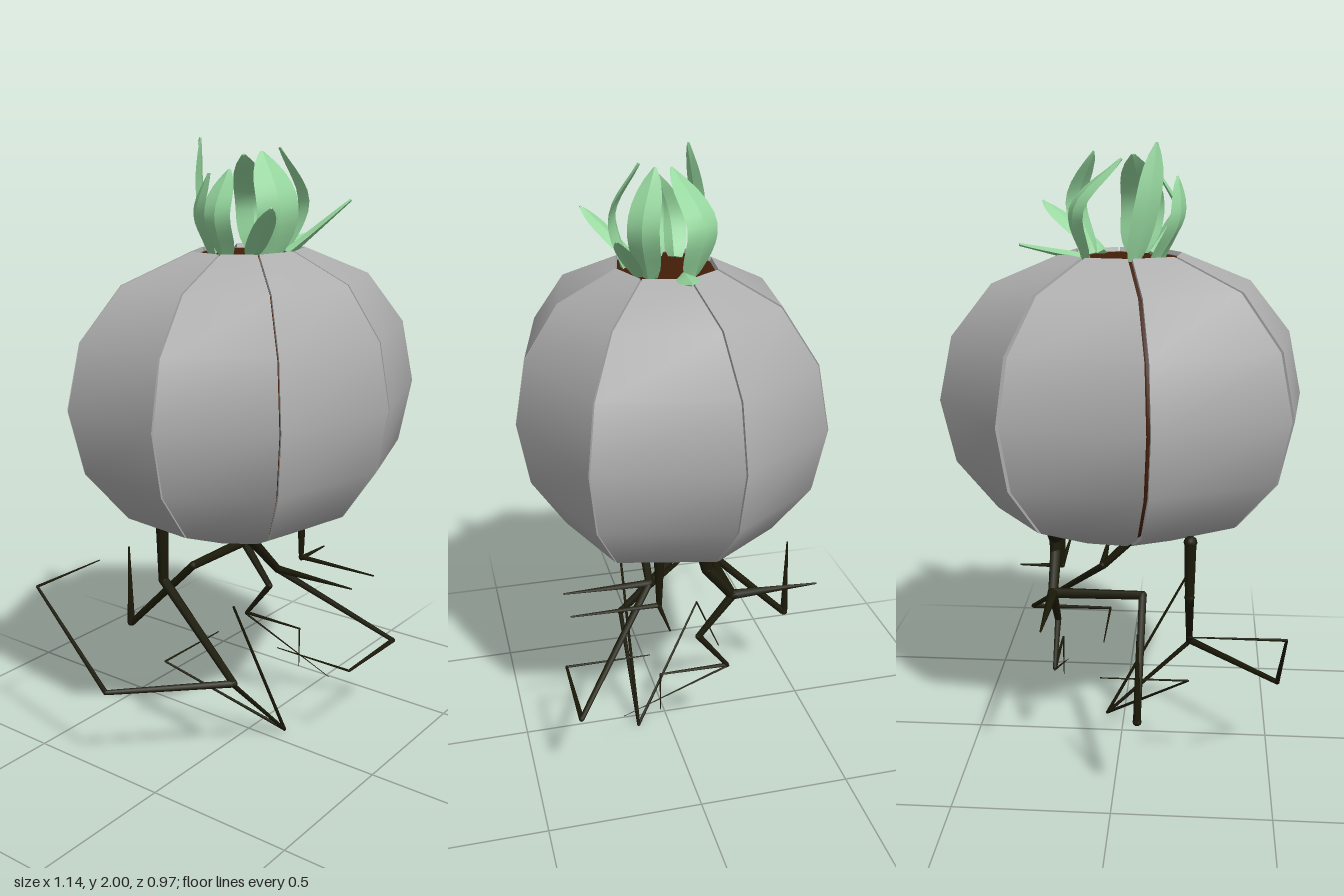
import * as THREE from 'three';

const mat = (name, color) => Object.assign(new THREE.MeshStandardMaterial({ color }), { name });
const V = (x, y, z) => new THREE.Vector3(x, y, z);

// Skin a series of rings (counter-clockwise seen from the far end): smooth lengthways, sharp across.
function loft(rings) {
  const pos = [], idx = [], n = rings[0].length;
  const put = p => pos.push(p.x, p.y, p.z) / 3 - 1;
  for (let k = 0; k < n; k++) {
    let prev = null;
    for (const ring of rings) {
      const cur = [put(ring[k]), put(ring[(k + 1) % n])];
      if (prev) idx.push(prev[0], prev[1], cur[1], prev[0], cur[1], cur[0]);
      prev = cur;
    }
  }
  const cap = ring => {
    const ids = ring.map(put);
    for (let k = 1; k < n - 1; k++) idx.push(ids[0], ids[k], ids[k + 1]);
  };
  cap(rings[rings.length - 1]);
  cap([...rings[0]].reverse());
  const g = new THREE.BufferGeometry();
  g.setAttribute('position', new THREE.Float32BufferAttribute(pos, 3));
  g.setIndex(idx);
  g.computeVertexNormals();
  return g;
}

// Widest points of the eight seams
const seams = [[0.06, 0.482], [0.475, 0.332], [0.571, -0.095], [0.332, -0.427],
  [-0.11, -0.48], [-0.53, -0.288], [-0.574, 0.09], [-0.375, 0.387]];
const MID_Y = 1.212, ROWS = 6;

// Point on a seam: a squarish arc from the bottom (row 0) to the top (last row)
function seamPoint([x, z], row, scale) {
  const angle = 1.347 * (2 * row / ROWS - 1);
  const f = Math.cos(angle) ** 0.75 * scale;
  return V(x * f, MID_Y + 0.467 * Math.sin(angle) * scale, z * f);
}

const rows = Array.from({ length: ROWS + 1 }, (_, row) => row);

// One shell panel between two seams; the gaps are wider at the back
function panelGeometry(a, b) {
  return loft(rows.map(row => {
    const edge = (from, to, scale) => {
      const p = seamPoint(from, row, scale), q = seamPoint(to, row, scale);
      return p.addScaledVector(q.sub(p).normalize(), from[1] < -0.2 ? 0.007 : 0.003);
    };
    return [edge(a, b, 1), edge(b, a, 1), edge(b, a, 0.972), edge(a, b, 0.972)];
  }));
}

// Curved blunt leaf: lens-shaped section swept from the crown's rim, bulging outward, to its tip
function leafGeometry(degrees, width, bulge, tip) {
  const a = THREE.MathUtils.degToRad(degrees);
  const out = V(Math.sin(a), 0, Math.cos(a)), side = V(Math.cos(a), 0, -Math.sin(a));
  const base = out.clone().multiplyScalar(0.12).setY(1.655);
  const mid = base.clone().lerp(tip, 0.5).addScaledVector(out, bulge);
  const curve = new THREE.CatmullRomCurve3([base, mid, tip]);
  const rings = [];
  for (let i = 0; i <= 10; i++) {
    const t = i / 10, p = curve.getPoint(t);
    const n = curve.getTangent(t).cross(side).normalize();
    const w = width * (1 - 0.68 * Math.abs(2 * t - 0.9) ** 3);
    const h = 0.015 * (1 - 0.7 * t);
    rings.push([[w, 0], [0, h], [-w, 0], [0, -h]].map(
      ([u, v]) => p.clone().addScaledVector(side, u).addScaledVector(n, v)));
  }
  return loft(rings);
}

// Jointed root: straight pieces that thin from radius r0 to r1, walked in steps of one unit
const STEP = 0.29;
function root(name, material, start, r0, r1, ...steps) {
  const group = new THREE.Group();
  group.name = name;
  const a = V(...start);
  const radius = k => r1 + (r0 - r1) * (1 - k / steps.length) ** 1.3;
  steps.forEach((step, i) => {
    const d = V(...step).multiplyScalar(STEP);
    const piece = new THREE.Mesh(
      new THREE.CylinderGeometry(radius(i + 1), radius(i), d.length(), 6), material);
    piece.name = 'rootPiece';
    piece.position.copy(a).addScaledVector(d, 0.5);
    const joint = new THREE.Mesh(new THREE.IcosahedronGeometry(radius(i), 1), material);
    joint.name = 'rootJoint';
    joint.position.copy(a);
    a.add(d);
    piece.quaternion.setFromUnitVectors(V(0, 1, 0), d.normalize());
    group.add(piece, joint);
  });
  return group;
}

export function createModel() {
  const model = new THREE.Group();
  model.name = 'plantPod';
  const shell = mat('shell grey', 0xaeaeae);
  const leafGreen = mat('leaf green', 0x95d69d);
  const coreBrown = mat('core brown', 0x421e08);
  const rootDark = mat('root dark olive', 0x1b1a08);
  const add = (name, geometry, material) => {
    const mesh = new THREE.Mesh(geometry, material);
    mesh.name = name;
    model.add(mesh);
  };

  // Shell panels around a brown core
  seams.forEach((s, i) => add('shellPanel', panelGeometry(s, seams[(i + 1) % seams.length]), shell));
  add('core', loft(rows.map(row => seams.map(s => seamPoint(s, row, 0.968)))), coreBrown);

  // Crown of leaves
  const addLeaf = (degrees, width, bulge, x, y, z) =>
    add('leaf', leafGeometry(degrees, width, bulge, V(x, y, z)), leafGreen);
  addLeaf(-20, 0.075, 0.06, -0.03, 1.96, 0.07);
  addLeaf(55, 0.05, 0.07, 0.09, 1.97, 0.05);
  addLeaf(35, 0.038, 0, 0.27, 1.81, 0.2);
  addLeaf(105, 0.036, 0, 0.32, 1.69, 0);
  addLeaf(118, 0.06, 0.09, 0, 1.95, -0.02);
  addLeaf(202, 0.04, 0.02, -0.11, 2, -0.1);
  addLeaf(240, 0.045, 0.04, -0.17, 1.9, -0.02);
  addLeaf(-50, 0.034, 0, -0.19, 1.81, 0.22);
  addLeaf(-88, 0.05, 0.06, -0.11, 1.91, 0.01);

  const addRoot = (name, ...rest) => model.add(root(name, rootDark, ...rest));
  // Right root
  addRoot('rightRoot', [-0.23, 0.785, -0.18], 0.022, 0.002,
    [0, -0.65, 0], [0, -1, 1], [-1, 0, -1], [0, 1, -1], [1, 0, 0]);
  addRoot('rightRootFoot', [-0.23, 0.3, 0.11], 0.008, 0.002, [1, -1, 0], [-1, 1, -1], [1, 0, 0]);
  addRoot('rightRootTwig', [0.06, 0.01, 0.11], 0.006, 0.004, [-1, 1.95, 0]);
  // Front root
  addRoot('frontRoot', [-0.12, 0.785, 0.07], 0.018, 0.002,
    [0.65, -0.65, 0], [1, -1, 1], [-1, 0, 0], [0, 0, -1]);
  addRoot('frontRootTwig', [0.07, 0.597, 0.07], 0.014, 0.003, [0, 0, 1]);
  // Left root
  addRoot('leftRoot', [0.21, 0.785, 0.07], 0.018, 0.003, [0, -0.65, 0], [0, 0, 1]);
  addRoot('leftRootTwig', [0.21, 0.592, 0.07], 0.008, 0.003, [0.5, 0, 0]);
  // Back root
  addRoot('backRoot', [0.21, 0.81, -0.14], 0.028, 0.012,
    [0, -0.2, 0.2], [0, -0.15, -0.03], [0, -0.38, -0.3], [-1, 0, 0], [0, -1, -1]);
  addRoot('backRootTip', [-0.08, 0.31, -0.47], 0.014, 0.003, [0, 1, 0]);
  addRoot('backRootSpike', [0.21, 0.6, -0.18], 0.018, 0.003, [0, 0, -1]);
  addRoot('backRootTail', [0.21, 0.6, -0.18], 0.016, 0.001,
    [0, -0.5, 0.4], [0, -0.45, -0.35], [0, 0, 0.8], [0, -0.5, 0]);
  addRoot('backRootTwig', [0.21, 0.32, -0.17], 0.004, 0.001, [0, -0.5, 1.25]);
  return model;
}
